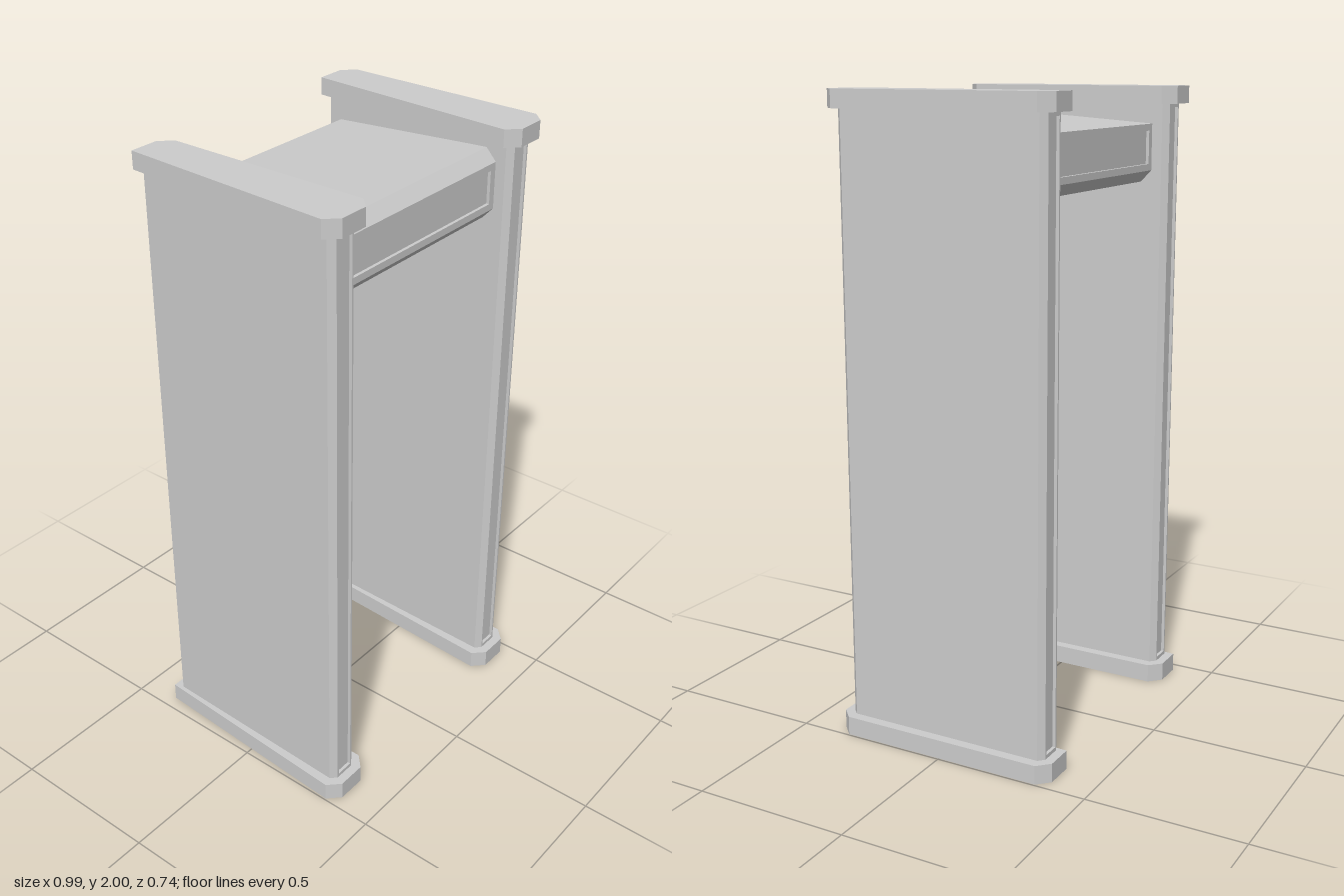
import * as THREE from 'three';

const material = new THREE.MeshStandardMaterial({ color: 0xcccccc, flatShading: true });

// Chamfered rectangle (half width w, half depth d), optionally notched at both ends
function profile(w, d, cw, cd, notch = 0, depth = 0) {
  const half = [[w, -d + cd], [w, d - cd], [w - cw, d]];
  if (notch) half.push([notch, d], [notch, d - depth], [-notch, d - depth], [-notch, d]);
  half.push([-w + cw, d]);
  const points = half.concat(half.slice(1).map(([x, y]) => [-x, -y]));
  points.pop(); // same corner as the first point
  points.push([w - cw, -d]);
  const unique = points.filter(([x, y], i) =>
    points.findIndex(([a, b]) => Math.abs(a - x) + Math.abs(b - y) < 1e-6) === i);
  return new THREE.Shape(unique.map(([x, y]) => new THREE.Vector2(x, y)));
}

// Upright prism from y0 to y1
function prism(name, shape, y0, y1) {
  const geometry = new THREE.ExtrudeGeometry(shape, { depth: y1 - y0, bevelEnabled: false });
  geometry.rotateX(-Math.PI / 2).translate(0, y0, 0);
  const mesh = new THREE.Mesh(geometry, material);
  mesh.name = name;
  return mesh;
}

// Prism whose two narrow ends carry a recessed panel, closed by solid margins
function recessedPrism(name, size, notch, depth, y0, y1, margin) {
  const group = new THREE.Group();
  group.name = name;
  const solid = profile(...size);
  group.add(
    prism(name + 'StartMargin', solid, y0, y0 + margin),
    prism(name + 'Body', profile(...size, notch, depth), y0 + margin, y1 - margin),
    prism(name + 'EndMargin', solid, y1 - margin, y1));
  return group;
}

export function createModel() {
  const model = new THREE.Group();
  model.name = 'walkThroughGate';

  // Side pillars with a foot and a cap
  for (const [side, sign] of [['left', 1], ['right', -1]]) {
    const pillar = new THREE.Group();
    pillar.name = side + 'Pillar';
    const plate = profile(0.085, 0.372, 0.038, 0.038);
    pillar.add(
      prism('foot', plate, 0, 0.06),
      recessedPrism('sidePanel', [0.053, 0.343, 0.018, 0.018], 0.029, 0.01, 0.06, 1.945, 0.012),
      prism('cap', plate, 1.945, 2));
    pillar.position.x = sign * 0.41;
    model.add(pillar);
  }

  // Header box spanning the pillars, with display recesses front and back
  const header = recessedPrism('header', [0.11, 0.291, 0.037, 0.035], 0.052, 0.01, -0.36, 0.36, 0.025);
  header.rotation.z = -Math.PI / 2;
  header.position.y = 1.81;
  model.add(header);

  return model;
}
